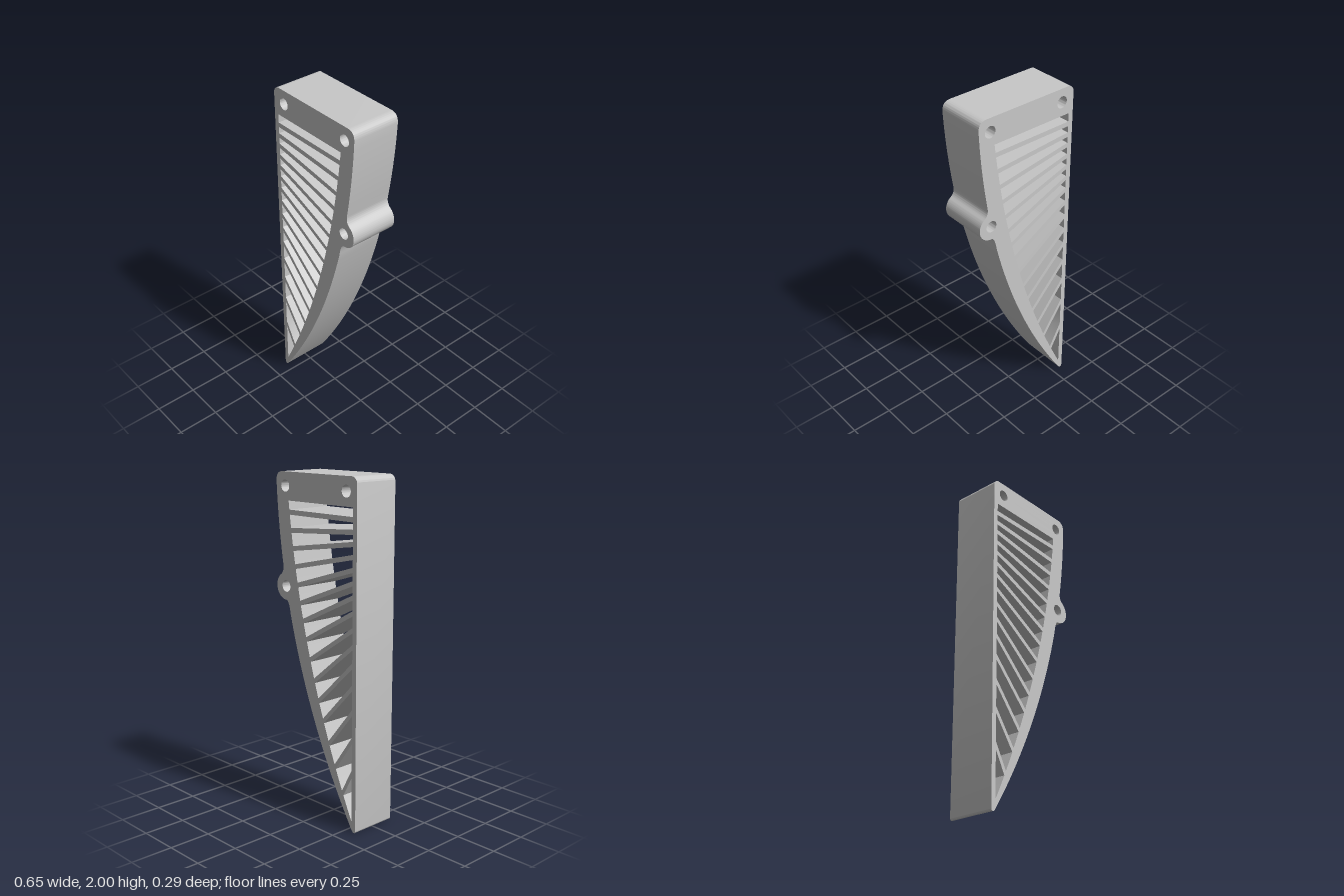
import * as THREE from 'three';
import { toCreasedNormals } from 'three/addons/utils/BufferGeometryUtils.js';

const DEPTH = 0.29;
const WALL_X = -0.295; // inner face of the straight wall

// x of the curved wall's outer and inner faces at height y
const outerX = (y) => -3.578 + Math.sqrt(3.9 ** 2 - (2.12 - y) ** 2);
const innerX = (y) => -5.103 + Math.sqrt(5.35 ** 2 - (2.41 - y) ** 2);

// centre heights of the fanned slats at the straight and curved walls
const LEFT_Y = [1.776, 1.71, 1.646, 1.577, 1.508, 1.436, 1.359, 1.272, 1.179, 1.084, 0.98, 0.855, 0.712, 0.549, 0.352];
const RIGHT_Y = [1.776, 1.675, 1.574, 1.473, 1.37, 1.269, 1.168, 1.065, 0.952, 0.834, 0.722, 0.611, 0.487, 0.36, 0.218];

// end points of one slat edge (side = 1 upper, -1 lower); lower slats are thinner
function slatEdge(i, side) {
  const half = THREE.MathUtils.lerp(0.014, 0.011, i / (LEFT_Y.length - 1));
  const slope = (RIGHT_Y[i] - LEFT_Y[i]) / (innerX(RIGHT_Y[i]) - WALL_X);
  const y0 = LEFT_Y[i] + side * half * Math.hypot(1, slope);
  let y = RIGHT_Y[i];
  for (let k = 0; k < 80; k++) y = y0 + slope * (innerX(y) - WALL_X);
  return { left: y0, right: y };
}

// opening between two slat edges, following the curved wall (counterclockwise)
function slot(top, bottom) {
  const pts = [new THREE.Vector2(WALL_X, top.left), new THREE.Vector2(WALL_X, bottom.left)];
  const n = 4;
  for (let k = 0; k <= n; k++) {
    const y = THREE.MathUtils.lerp(bottom.right, top.right, k / n);
    pts.push(new THREE.Vector2(innerX(y), y));
  }
  return new THREE.Path(pts);
}

function boltHole(x, y) {
  const hole = new THREE.Path();
  hole.absarc(x, y, 0.034, 0, Math.PI * 2, false);
  return hole;
}

// clockwise outline: straight wall, rounded top, curved wall with a round lug, blunt tip
function outline() {
  const s = new THREE.Shape();
  const followCurve = (from, to, n) => {
    for (let k = 1; k <= n; k++) {
      const y = THREE.MathUtils.lerp(from, to, k / n);
      s.lineTo(outerX(y), y);
    }
  };
  s.moveTo(-0.325, 0.016);
  s.lineTo(-0.325, 1.96);
  s.absarc(-0.285, 1.96, 0.04, Math.PI, Math.PI / 2, true);
  s.lineTo(0.265, 2);
  s.quadraticCurveTo(0.319, 2, outerX(1.945), 1.945);
  followCurve(1.945, 1.475, 10);
  s.quadraticCurveTo(0.262, 1.436, 0.29, 1.415);
  s.absarc(0.244, 1.35, 0.08, 0.955, -Math.PI / 2, true);
  s.quadraticCurveTo(0.222, 1.268, outerX(1.19), 1.19);
  followCurve(1.19, 0.014, 28);
  s.quadraticCurveTo(-0.304, 0, -0.313, 0);
  s.quadraticCurveTo(-0.325, 0, -0.325, 0.016);
  return s;
}

export function createModel() {
  const group = new THREE.Group();
  group.name = 'slattedBracket';
  const grey = new THREE.MeshStandardMaterial({ color: 0xc8c8c8 });
  grey.name = 'grey';

  const shape = outline();
  shape.holes.push(boltHole(-0.244, 1.921), boltHole(0.244, 1.921), boltHole(0.244, 1.351));

  // slots between neighbouring slats, down to the pointed last one
  let top = { left: 1.84, right: 1.84 };
  for (let i = 0; i < LEFT_Y.length; i++) {
    shape.holes.push(slot(top, slatEdge(i, 1)));
    top = slatEdge(i, -1);
  }
  shape.holes.push(slot(top, { left: 0.068, right: 0.07 }));

  const geometry = new THREE.ExtrudeGeometry(shape, { depth: DEPTH, bevelEnabled: false, curveSegments: 24 });
  geometry.translate(0, 0, -DEPTH / 2);
  const body = new THREE.Mesh(toCreasedNormals(geometry, 0.5), grey);
  body.name = 'bracketBody';
  group.add(body);
  return group;
}
